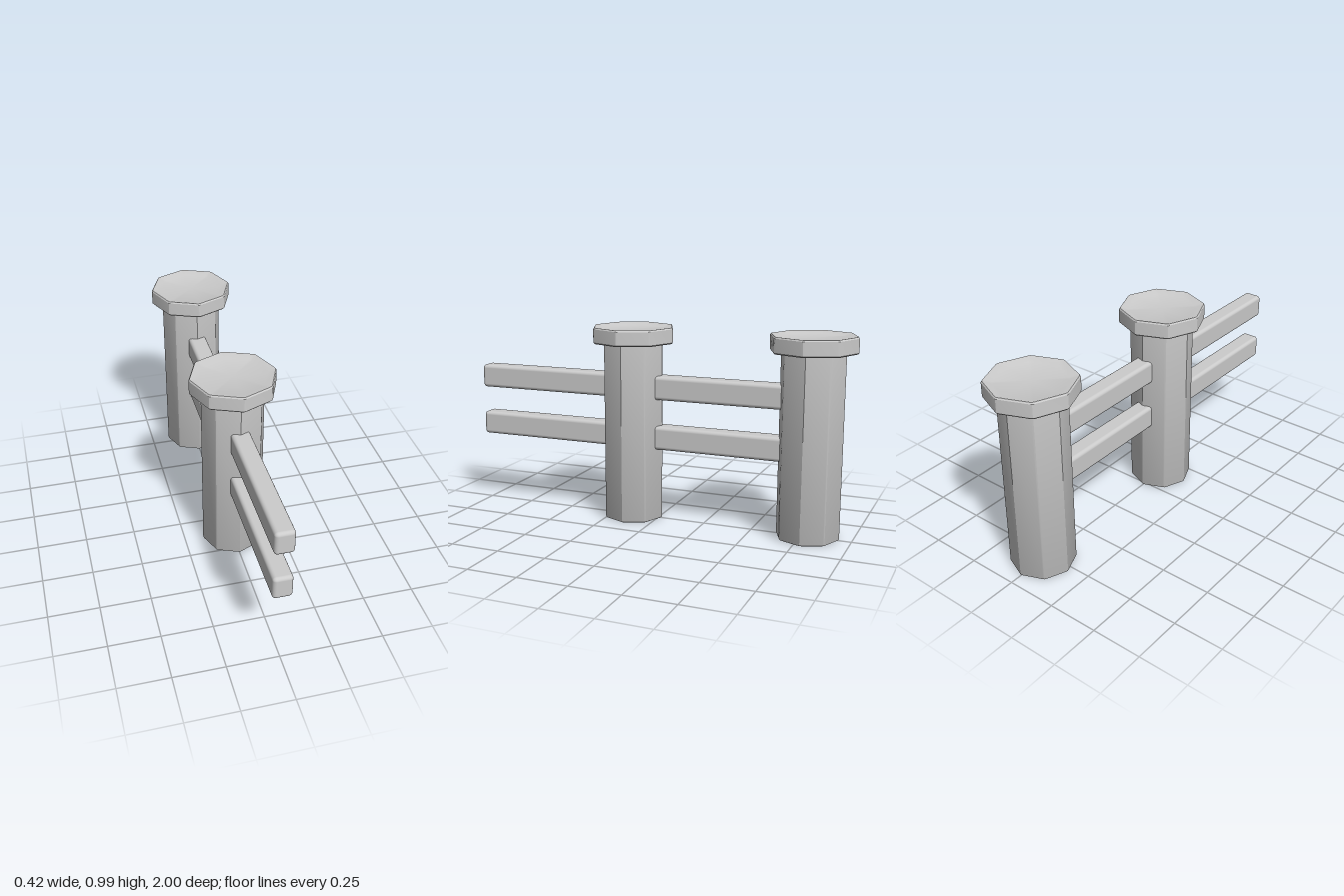
import * as THREE from 'three';
import { toCreasedNormals } from 'three/addons/utils/BufferGeometryUtils.js';
import { RoundedBoxGeometry } from 'three/addons/geometries/RoundedBoxGeometry.js';

const material = new THREE.MeshStandardMaterial({ color: 0xcccccc });

// Octagonal solid with softened upright edges; profile runs bottom to top as [radius, y]
function octagonSolid(profile) {
  const geo = new THREE.LatheGeometry(profile.map(([r, y]) => new THREE.Vector2(r, y)), 24);
  const pos = geo.attributes.position;
  const half = Math.PI / 8, soft = 0.05;
  for (let v = 0; v < pos.count; v++) {
    const column = Math.floor(v / profile.length) + 1;
    const offset = column % 3 - 1; // -1, 0, 1: before, on and after a corner
    const phi = Math.floor(column / 3) * half * 2 + offset * soft;
    const r = profile[v % profile.length][0] *
      (offset ? Math.cos(half) / Math.cos(half - soft) : 0.993);
    pos.setX(v, r * Math.sin(phi));
    pos.setZ(v, r * Math.cos(phi));
  }
  return toCreasedNormals(geo, Math.PI / 6);
}

function addMesh(parent, name, geo, x, y, z) {
  const mesh = new THREE.Mesh(geo, material);
  mesh.name = name;
  mesh.position.set(x, y, z);
  parent.add(mesh);
}

export function createModel() {
  const model = new THREE.Group();
  model.name = 'fence';

  // Post shaft with a bevelled foot
  const shaft = octagonSolid([
    [0, 0], [0.148, 0], [0.154, 0.003], [0.157, 0.01], [0.157, 0.92], [0, 0.92],
  ]);
  // Wide cap with a shallow dished top
  const cap = octagonSolid([
    [0, 0.905], [0.207, 0.905], [0.213, 0.911], [0.213, 0.978], [0.208, 0.985],
    [0.204, 0.985], [0.168, 0.973], [0, 0.973],
  ]);

  for (const [name, z] of [['frontPost', 0.135], ['backPost', -0.784]]) {
    const post = new THREE.Group();
    post.name = name;
    post.position.z = z;
    addMesh(post, 'postShaft', shaft, 0, 0, 0);
    addMesh(post, 'postCap', cap, 0, 0, 0);
    model.add(post);
  }

  // Two rails: an open length in front, and a length joining the posts
  for (const [name, y] of [['lowerRail', 0.43], ['upperRail', 0.685]]) {
    for (const [part, z0, z1] of [['Front', 0.2, 1], ['Back', -0.7, 0.07]]) {
      const rail = new RoundedBoxGeometry(0.094, 0.12, z1 - z0, 3, 0.018);
      addMesh(model, name + part, rail, 0.002, y, (z0 + z1) / 2);
    }
  }
  return model;
}
